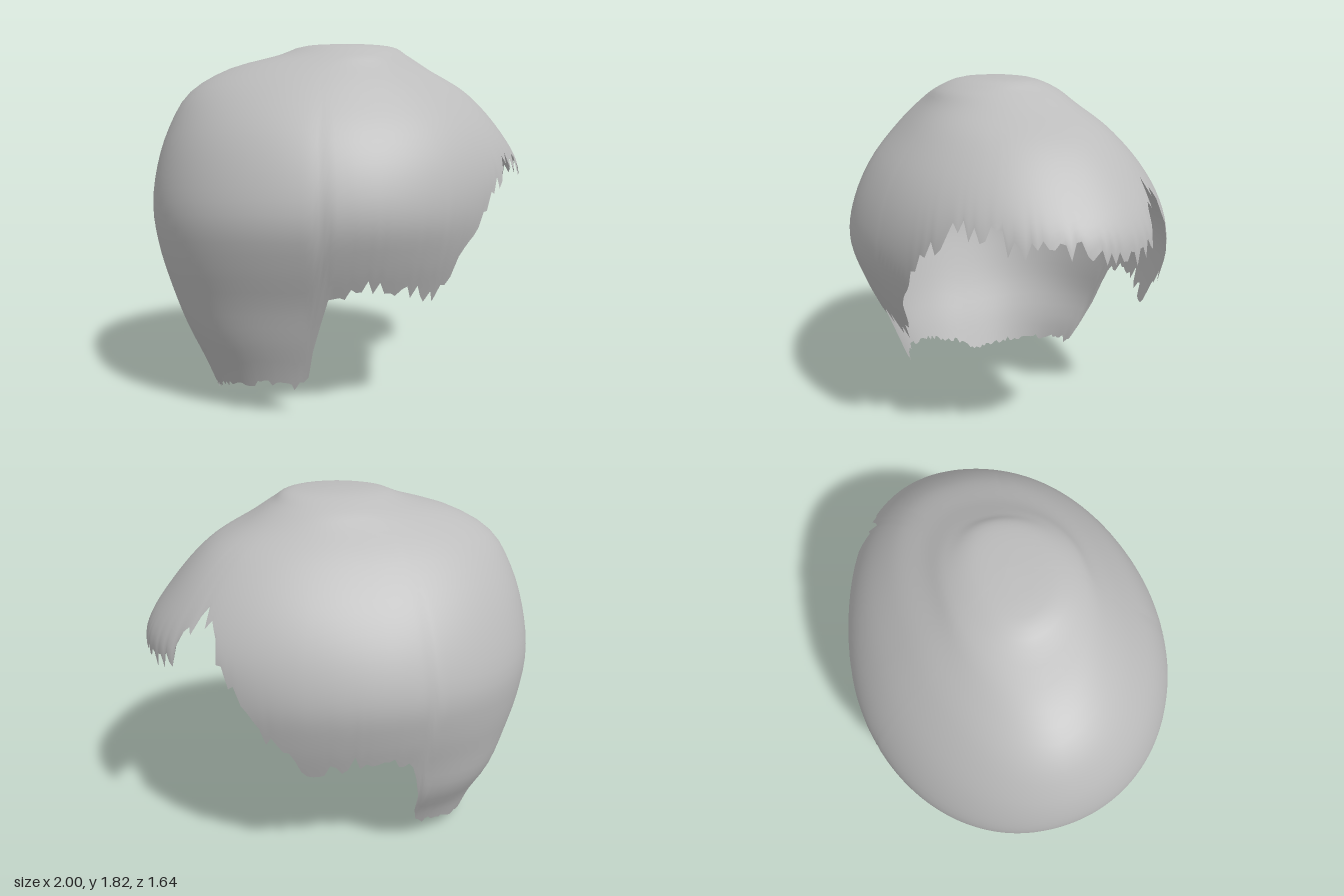
import * as THREE from 'three';

// Horizontal sections from crown to nape:
// y, back x, front x, -z extent, +z extent, centre x, front squareness, back squareness
const SECTIONS = [
  [1.83, 0.03, 0.03, 0.03, 0.03, 0.03, 2, 2],
  [1.818, -0.21, 0.25, -0.12, 0.23, 0.02, 2, 2],
  [1.77, -0.35, 0.34, -0.24, 0.35, 0.01, 2.1, 2],
  [1.7, -0.6, 0.46, -0.33, 0.42, -0.02, 2.2, 2],
  [1.58, -0.8, 0.67, -0.48, 0.535, -0.04, 2.25, 2],
  [1.4, -0.91, 0.85, -0.645, 0.685, -0.05, 2.15, 2],
  [1.2, -0.975, 0.99, -0.765, 0.785, -0.05, 1.95, 2],
  [1.0, -1.0, 1.0, -0.82, 0.82, -0.05, 1.85, 2.05],
  [0.8, -0.975, 0.98, -0.79, 0.76, -0.05, 1.85, 2.15],
  [0.6, -0.92, 0.95, -0.73, 0.67, -0.05, 1.85, 2.3],
  [0.4, -0.85, 0.9, -0.665, 0.595, -0.08, 1.85, 2.45],
  [0.2, -0.76, 0.8, -0.55, 0.52, -0.1, 1.85, 2.5],
  [0.0, -0.68, 0.7, -0.47, 0.46, -0.2, 1.85, 2.5],
];

// Height of the cut edge by angle in degrees, from the face (+x) round by +z
const EDGE = [
  [0, 1.18], [16, 1.18], [24, 1.17], [27, 1.3], [32, 1.23], [38, 1.25], [43, 1.2], [48, 1.12],
  [54, 0.98], [60, 0.82], [65, 0.7], [69, 0.59], [74, 0.65], [79, 0.67], [85, 0.7], [96, 0.69],
  [102, 0.6], [104, 0.42], [105.5, 0.24], [108, 0.18], [123, 0.18], [143, 0.14], [168, 0.07],
  [181, 0.01], [204, 0.05], [232, 0.1], [252, 0.17], [254, 0.26], [255, 0.42], [257, 0.6],
  [263, 0.69], [275, 0.7], [283, 0.66], [289, 0.62], [296, 0.74], [303, 0.88], [310, 1.1],
  [317, 1.28], [323, 1.39], [328, 1.27], [332, 1.14], [346, 1.1], [360, 1.18],
];

const COLUMNS = 220;
const ROWS = 36;

// Smooth interpolation of the section table
function sectionAt(t) {
  const last = SECTIONS.length - 1;
  const i = Math.min(Math.floor(t), last - 1);
  const f = t - i;
  const row = (k) => SECTIONS[Math.max(0, Math.min(last, k))];
  return row(i).map((b, k) => {
    const a = row(i - 1)[k], c = row(i + 1)[k], d = row(i + 2)[k];
    return b + 0.5 * f * (c - a + f * (2 * a - 5 * b + 4 * c - d + f * (3 * (b - c) + d - a)));
  });
}

// Section parameter at which the shell reaches a height
function parameterAtHeight(y) {
  let low = 0, high = SECTIONS.length - 1;
  for (let n = 0; n < 24; n++) {
    const mid = (low + high) / 2;
    if (sectionAt(mid)[0] > y) low = mid; else high = mid;
  }
  return high;
}

function edgeHeight(degrees) {
  const k = Math.max(1, EDGE.findIndex((e) => e[0] >= degrees));
  const [a0, y0] = EDGE[k - 1], [a1, y1] = EDGE[k];
  return THREE.MathUtils.lerp(y0, y1, (degrees - a0) / (a1 - a0));
}

// Point on the shell: a superellipse section with separate front, back and side extents
function shellPoint(t, angle) {
  const [y, back, front, right, left, centre, frontPower, backPower] = sectionAt(t);
  const c = Math.cos(angle), s = Math.sin(angle);
  const n = c > 0 ? frontPower : backPower;
  const r = (Math.abs(c) ** n + Math.abs(s) ** n) ** (-1 / n);
  // The crown sits off the middle, and the fringe leans to -z
  const middle = (right + left) / 2;
  const crown = Math.max(0, 1 - t / 4);
  const zCentre = middle * crown;
  const lean = 0.07 * Math.max(0, c) ** 2 * Math.min(1, t / 6);
  return [
    centre + c * r * (c > 0 ? front - centre : centre - back),
    y,
    zCentre + s * r * (s > 0 ? left - zCentre : zCentre - right) - lean,
  ];
}

function createHairGeometry() {
  let seed = 17;
  const random = () => (seed = (seed * 16807) % 2147483647) / 2147483647;
  const positions = [...shellPoint(0, 0)];
  const indices = [];

  for (let i = 0; i < COLUMNS; i++) {
    const angle = (i / COLUMNS) * Math.PI * 2;
    const degrees = (i / COLUMNS) * 360;
    // Ragged lock tips, finer along the nape; only the rows near the edge follow them
    const nape = degrees > 112 && degrees < 248;
    const jag = (random() - 0.5) * (nape ? 0.03 : 0.1);
    const height = edgeHeight(degrees);
    const end = parameterAtHeight(height);
    const tip = parameterAtHeight(Math.max(0, height + jag)) - end;
    for (let j = 1; j <= ROWS; j++) {
      const u = j / ROWS;
      positions.push(...shellPoint(end * u + tip * u ** 12, angle));
    }

    const a = 1 + i * ROWS;
    const b = 1 + ((i + 1) % COLUMNS) * ROWS;
    indices.push(0, b, a);
    for (let j = 0; j < ROWS - 1; j++) {
      indices.push(a + j, b + j, b + j + 1, a + j, b + j + 1, a + j + 1);
    }
  }

  const geometry = new THREE.BufferGeometry();
  geometry.setAttribute('position', new THREE.Float32BufferAttribute(positions, 3));
  geometry.setIndex(indices);
  geometry.computeVertexNormals();
  return geometry;
}

export function createModel() {
  const group = new THREE.Group();
  group.name = 'hairpiece';
  const material = new THREE.MeshStandardMaterial({ color: 0xbcbcbc, side: THREE.DoubleSide });
  material.name = 'light grey';
  const hair = new THREE.Mesh(createHairGeometry(), material);
  hair.name = 'hairShell';
  group.add(hair);
  return group;
}
